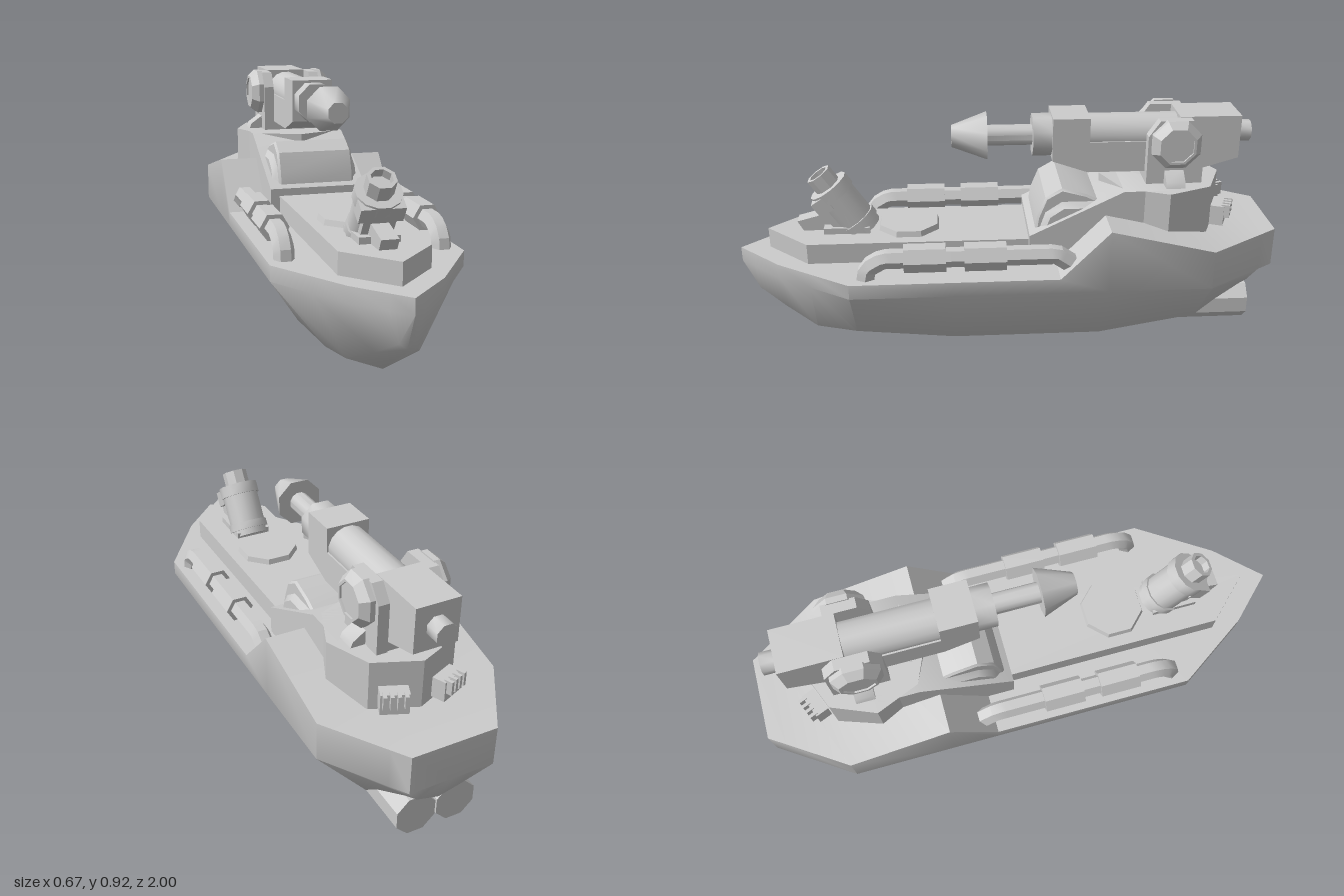
import * as THREE from 'three';
import { toCreasedNormals } from 'three/addons/utils/BufferGeometryUtils.js';

const material = new THREE.MeshStandardMaterial({ color: 0xcccccc, side: THREE.DoubleSide });

export function createModel() {
  const model = new THREE.Group();

  function add(name, geometry, position = [0, 0, 0], parent = model, crease = 0.6) {
    const mesh = new THREE.Mesh(toCreasedNormals(geometry, crease), material);
    mesh.name = name;
    mesh.position.set(...position);
    parent.add(mesh);
    return mesh;
  }
  const box = (w, h, d) => new THREE.BoxGeometry(w, h, d);

  // Outline of [z, y] points made solid across the width of the boat
  function sideProfile(points, width, bevel = 0) {
    const shape = new THREE.Shape(points.map(p => new THREE.Vector2(...p)));
    const depth = width - 2 * bevel;
    return new THREE.ExtrudeGeometry(shape, {
      depth, bevelEnabled: bevel > 0, bevelThickness: bevel, bevelSize: bevel, bevelOffset: -bevel, bevelSegments: 1,
    }).translate(0, 0, -depth / 2).rotateY(-Math.PI / 2);
  }
  // Outline of [x, z] points made solid from y0 to y1
  function plate(points, y0, y1) {
    const shape = new THREE.Shape(points.map(([x, z]) => new THREE.Vector2(x, -z)));
    return new THREE.ExtrudeGeometry(shape, { depth: y1 - y0, bevelEnabled: false })
      .rotateX(-Math.PI / 2).translate(0, y0, 0);
  }
  // Cylinder or cone along z, from z0 to z1
  function tubeZ(z0, r0, z1, r1, sides = 8) {
    return new THREE.CylinderGeometry(r1, r0, z1 - z0, sides, 1)
      .rotateY(Math.PI / sides).rotateX(Math.PI / 2).translate(0, 0, (z0 + z1) / 2);
  }

  // Hull cross-sections: z, keel y, chine x, chine y, side x, top y
  const sections = [
    [1, 0.355, 0, 0.355, 0, 0.41],
    [0.94, 0.23, 0.025, 0.25, 0.058, 0.41],
    [0.84, 0.16, 0.07, 0.19, 0.155, 0.41],
    [0.72, 0.08, 0.125, 0.13, 0.235, 0.41],
    [0.57, 0.06, 0.15, 0.115, 0.335, 0.41],
    [0.2, 0, 0.155, 0.08, 0.335, 0.41],
    [-0.18, 0, 0.155, 0.08, 0.335, 0.41],
    [-0.355, 0, 0.155, 0.08, 0.335, 0.59],
    [-0.73, 0.08, 0.14, 0.135, 0.335, 0.5],
    [-0.94, 0.23, 0.08, 0.25, 0.195, 0.5],
    [-1, 0.355, 0.07, 0.355, 0.155, 0.5],
  ];
  const points = [], faces = [], n = 7, last = sections.length - 1;
  sections.forEach(([z, keel, cx, cy, x, top], i) => {
    points.push(0, keel, z, cx, cy, z, x, 0.355, z, x, top, z, -x, top, z, -x, 0.355, z, -cx, cy, z);
    if (i === last) return;
    for (let j = 0; j < n; j++) {
      const a = i * n + j, b = i * n + (j + 1) % n;
      faces.push(a, a + n, b, b, a + n, b + n);
    }
  });
  for (let j = 1; j < n - 1; j++) faces.push(last * n, last * n + j + 1, last * n + j);
  const hull = new THREE.BufferGeometry();
  hull.setAttribute('position', new THREE.Float32BufferAttribute(points, 3));
  hull.setIndex(faces);
  add('hull', hull, [0, 0, 0], model, 0.75);

  // Raised foredeck, ramp and housing
  add('foredeck', plate([[0, 0.89], [0.155, 0.73], [0.155, -0.2], [-0.155, -0.2], [-0.155, 0.73]], 0.4, 0.487));
  add('deckHatch', new THREE.CylinderGeometry(0.115, 0.122, 0.025, 8).rotateY(Math.PI / 8), [0, 0.495, 0.36]);
  add('ramp', sideProfile([[-0.08, 0.4], [-0.08, 0.515], [-0.42, 0.68], [-0.6, 0.68], [-0.6, 0.4]], 0.38));
  const arch = [[-0.1, 0.5], [-0.11, 0.57], [-0.14, 0.645], [-0.2, 0.68], [-0.29, 0.655], [-0.36, 0.62], [-0.36, 0.5]];
  add('archedHousing', sideProfile(arch, 0.3, 0.008));
  add('housingSkirt', sideProfile([[-0.11, 0.5], [-0.14, 0.59], [-0.2, 0.63], [-0.34, 0.63], [-0.34, 0.5]], 0.34, 0.02));

  // Turret platform, its point facing aft
  add('turretPlatform', new THREE.CylinderGeometry(0.225, 0.225, 0.24, 8), [0, 0.56, -0.58]);
  for (const s of [1, -1]) {
    const vent = new THREE.Group();
    vent.name = 'sternVent';
    vent.position.set(s * 0.1, 0.555, -0.8);
    vent.rotation.y = s * -Math.PI / 8;
    model.add(vent);
    add('ventBox', box(0.095, 0.075, 0.05), [0, 0, 0.005], vent);
    for (let i = 0; i < 4; i++) add('ventFin', box(0.012, 0.05, 0.03), [(i - 1.5) * 0.023, 0.018, -0.025], vent);
  }

  // Gun cradle, breech and barrel
  const gun = new THREE.Group();
  gun.name = 'gun';
  model.add(gun);
  add('gunCradle', sideProfile([[-0.17, 0.76], [-0.17, 0.92], [-0.305, 0.92], [-0.305, 0.83], [-0.63, 0.83],
    [-0.63, 0.92], [-0.855, 0.92], [-0.855, 0.76], [-0.7, 0.715], [-0.3, 0.715]], 0.16), [0, 0, 0], gun);
  const barrelParts = [
    ['gunTube', -0.64, 0.075, -0.3, 0.075, 16],
    ['frontCollar', -0.18, 0.078, -0.1, 0.078, 8],
    ['barrel', -0.11, 0.038, 0.08, 0.038, 12],
    ['muzzleCone', 0.065, 0.088, 0.195, 0.04, 8],
    ['breechKnob', -0.91, 0.04, -0.85, 0.04, 8],
  ];
  for (const [name, ...size] of barrelParts) add(name, tubeZ(...size), [0, 0.838, 0], gun, 0.9);

  // Gun mount: cheek plates, octagonal hubs and sloping feet
  add('mountBase', box(0.24, 0.05, 0.2), [0, 0.695, -0.61], gun);
  for (const s of [1, -1]) {
    const cheek = [[-0.51, 0.67], [-0.51, 0.86], [-0.55, 0.918], [-0.67, 0.918], [-0.715, 0.86], [-0.715, 0.67]];
    add('mountCheek', sideProfile(cheek, 0.04), [s * 0.1, 0, 0], gun);
    const hub = new THREE.LatheGeometry([[0, 0], [0.095, 0], [0.095, 0.022], [0.07, 0.05], [0.06, 0.05], [0.06, 0.043], [0, 0.043]]
      .map(p => new THREE.Vector2(...p)), 8).rotateY(Math.PI / 8).rotateZ(-s * Math.PI / 2);
    add('mountHub', hub, [s * 0.116, 0.835, -0.61], gun, 0.3);
    const foot = new THREE.Shape([[0.1, 0.675], [0.175, 0.675], [0.165, 0.7], [0.115, 0.735]]
      .map(([x, y]) => new THREE.Vector2(s * x, y)));
    add('mountFoot', new THREE.ExtrudeGeometry(foot, { depth: 0.07, bevelEnabled: false }), [0, 0, -0.645], gun);
  }

  // Tilted launcher on the bow
  const launcher = new THREE.Group();
  launcher.name = 'bowLauncher';
  launcher.position.set(0, 0.475, 0.533);
  launcher.rotation.x = 0.6;
  model.add(launcher);
  const drum = (r, h) => new THREE.CylinderGeometry(r, r, h, 12).rotateY(Math.PI / 12);
  add('launcherBody', drum(0.073, 0.2), [0, 0.1, 0], launcher);
  add('launcherCollar', drum(0.08, 0.045), [0, 0.195, 0], launcher);
  add('launcherFoot', drum(0.08, 0.03), [0, 0.04, 0], launcher);
  add('frontFrame', box(0.15, 0.06, 0.06), [0, 0.18, 0.045], launcher);
  add('frontBrace', box(0.11, 0.12, 0.04), [0, 0.1, 0.05], launcher);
  const muzzle = [[0, 0], [0.05, 0], [0.05, 0.065], [0.037, 0.065], [0.037, 0.035], [0, 0.035]];
  add('launcherMuzzle', new THREE.LatheGeometry(muzzle.map(p => new THREE.Vector2(...p)), 8).rotateY(Math.PI / 8),
    [0, 0.21, 0], launcher, 0.3);
  add('bowWedge', sideProfile([[0.6, 0.48], [0.6, 0.56], [0.68, 0.55], [0.775, 0.525], [0.75, 0.48]], 0.06));
  add('launcherBed', box(0.14, 0.03, 0.17), [0, 0.495, 0.59]);

  // Hexagonal pipes with sleeves along both side decks
  for (const s of [1, -1]) {
    const pipe = [[0.515, 0.4], [0.505, 0.45], [0.45, 0.482], [-0.17, 0.482], [-0.26, 0.42]];
    const path = new THREE.CurvePath();
    for (let i = 1; i < pipe.length; i++) {
      const [a, b] = [pipe[i - 1], pipe[i]].map(([z, y]) => new THREE.Vector3(0, y, z));
      path.add(new THREE.LineCurve3(a, b));
    }
    add('sidePipe', new THREE.TubeGeometry(path, 40, 0.036, 6), [s * 0.275, 0, 0], model, 0.4);
    for (const z of [0.3, 0.085]) {
      add('pipeSleeve', new THREE.CylinderGeometry(0.052, 0.052, 0.15, 6).rotateY(Math.PI / 2).rotateX(Math.PI / 2),
        [s * 0.275, 0.482, z]);
    }
    // Propulsion tube under the stern
    add('sternTube', tubeZ(-0.93, 0.078, -0.55, 0.078), [s * 0.075, 0.175, 0]);
  }
  return model;
}
